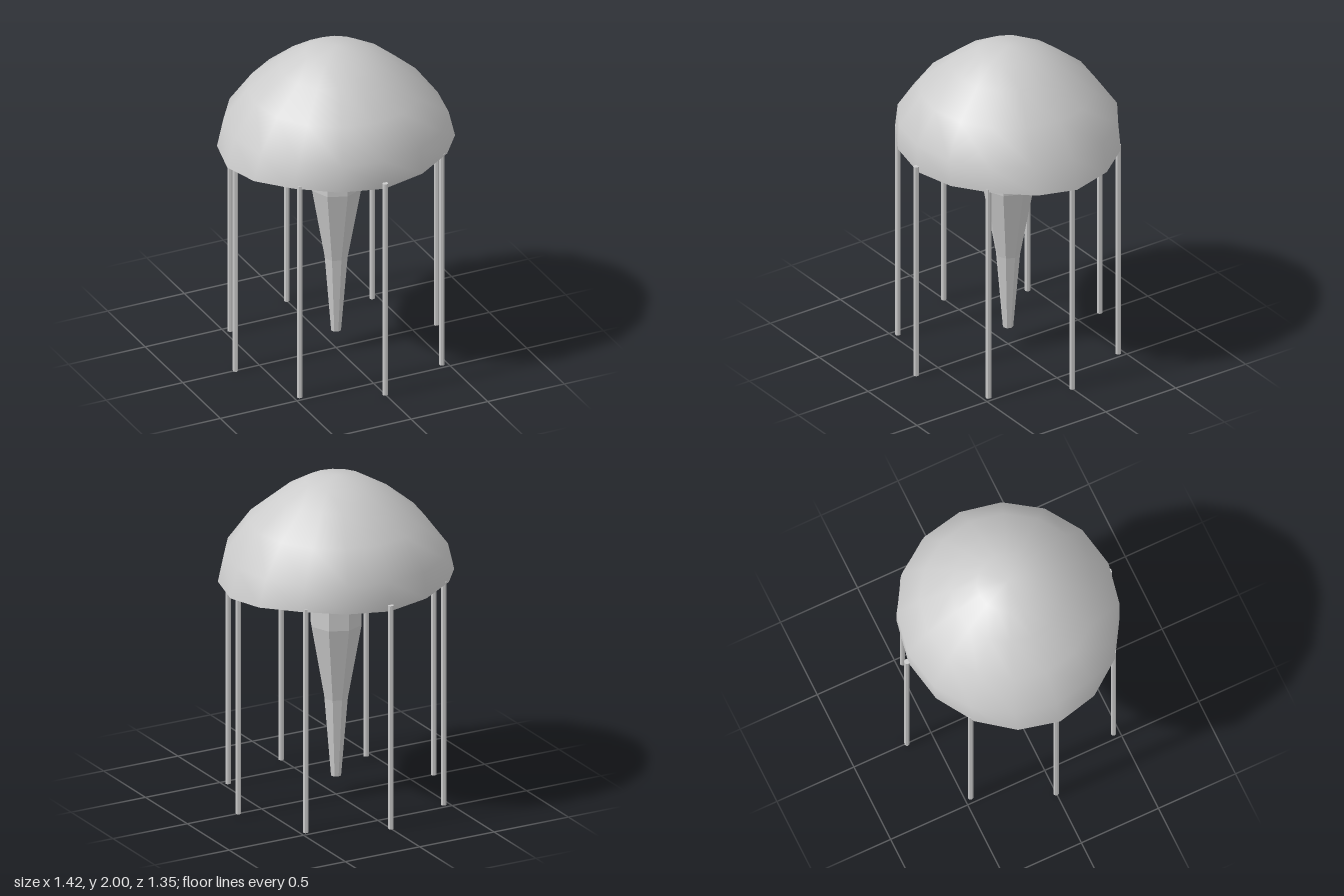
import * as THREE from 'three';
import { mergeVertices } from 'three/addons/utils/BufferGeometryUtils.js';

const SIDES = 16;

// Bell rings from crown to rim: [x radius, z radius, height]
const BELL_RINGS = [
  [0, 0, 2], [0.183, 0.183, 1.97], [0.337, 0.337, 1.88],
  [0.52, 0.52, 1.73], [0.663, 0.652, 1.54], [0.71, 0.645, 1.372],
];

function bellGeometry() {
  const rings = BELL_RINGS.length;
  const geo = new THREE.SphereGeometry(1, SIDES, rings - 1, 0, Math.PI * 2, 0, Math.PI / 2);
  const pos = geo.attributes.position;
  for (let i = 0; i < pos.count; i++) {
    const ring = Math.floor(i / (SIDES + 1));
    const angle = ((i % (SIDES + 1)) % SIDES) / SIDES * Math.PI * 2;
    const [rx, rz, y] = BELL_RINGS[ring];
    // the rim rises and dips gently in four waves
    const wave = ring === rings - 1 ? -0.014 * Math.cos(4 * angle) : 0;
    pos.setXYZ(i, -rx * Math.cos(angle), y + wave, rz * Math.sin(angle));
  }
  // weld the seam and the crown so the shading stays smooth
  geo.deleteAttribute('uv');
  geo.deleteAttribute('normal');
  const welded = mergeVertices(geo, 1e-4);
  welded.computeVertexNormals();
  return welded;
}

export function createModel() {
  const model = new THREE.Group();
  model.name = 'jellyfish';
  const smooth = new THREE.MeshStandardMaterial({ color: 0xcccccc, side: THREE.DoubleSide });
  const faceted = new THREE.MeshStandardMaterial({ color: 0xcccccc, flatShading: true });

  // Open domed bell
  const bell = new THREE.Mesh(bellGeometry(), smooth);
  bell.name = 'bell';
  model.add(bell);

  // Tapered eight-sided central arm hanging under the bell
  const armProfile = [[0, 0.12], [0.031, 0.12], [0.072, 0.61], [0.156, 1.075], [0.149, 1.38], [0, 1.38]]
    .map(([r, y]) => new THREE.Vector2(r, y));
  const arm = new THREE.Mesh(new THREE.LatheGeometry(armProfile, 8), faceted);
  arm.name = 'centralArm';
  model.add(arm);

  // Ring of eight straight tentacles
  const tentacles = new THREE.Group();
  tentacles.name = 'tentacles';
  const tentacleGeo = new THREE.CylinderGeometry(0.017, 0.017, 1.4, 8);
  for (let i = 0; i < 8; i++) {
    const a = i * Math.PI / 4;
    const tentacle = new THREE.Mesh(tentacleGeo, faceted);
    tentacle.name = 'tentacle' + (i + 1);
    tentacle.position.set(0.656 * Math.cos(a), 0.7, 0.656 * Math.sin(a));
    tentacles.add(tentacle);
  }
  model.add(tentacles);

  return model;
}
